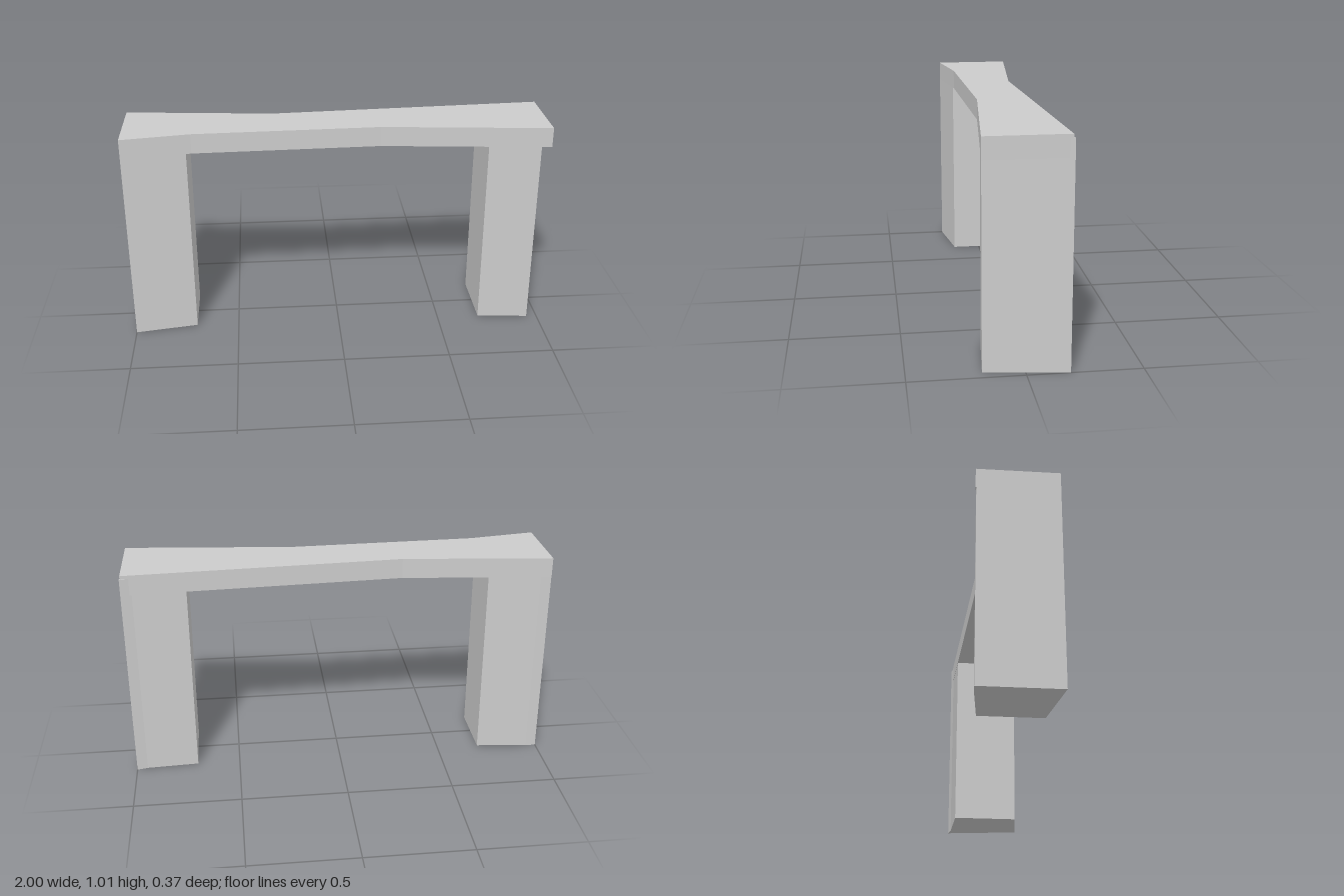
import * as THREE from 'three';

const material = new THREE.MeshStandardMaterial({ color: 0xcccccc, flatShading: true });

// Upright prism from a plan outline of [x, z] points
function prism(name, outline, bottom, top) {
  const shape = new THREE.Shape(outline.map(([x, z]) => new THREE.Vector2(x, -z)));
  const geometry = new THREE.ExtrudeGeometry(shape, { depth: top - bottom, bevelEnabled: false });
  geometry.rotateX(-Math.PI / 2).translate(0, bottom, 0);
  const mesh = new THREE.Mesh(geometry, material);
  mesh.name = name;
  return mesh;
}

export function createModel() {
  const group = new THREE.Group();
  group.name = 'table';

  // Waisted slab
  group.add(prism('tableTop', [
    [-1, 0.185], [-0.68, 0.135], [0.2, 0.11], [0.997, 0.187],
    [0.997, -0.18], [-0.3, -0.11], [-1, -0.18],
  ], 0.92, 1.015));

  // Leg at the model's right, flush with the slab end
  group.add(prism('rightLeg', [
    [-1, 0.185], [-0.95, 0.177], [-0.705, 0.138],
    [-0.705, -0.15], [-0.95, -0.175], [-1, -0.177],
  ], 0, 0.92));

  // Leg at the model's left, with a skewed outer face whose back corner pokes past the slab
  group.add(prism('leftLeg', [
    [0.705, 0.157], [0.95, 0.181], [1, -0.187], [0.95, -0.176], [0.705, -0.163],
  ], 0, 1.0));

  return group;
}
